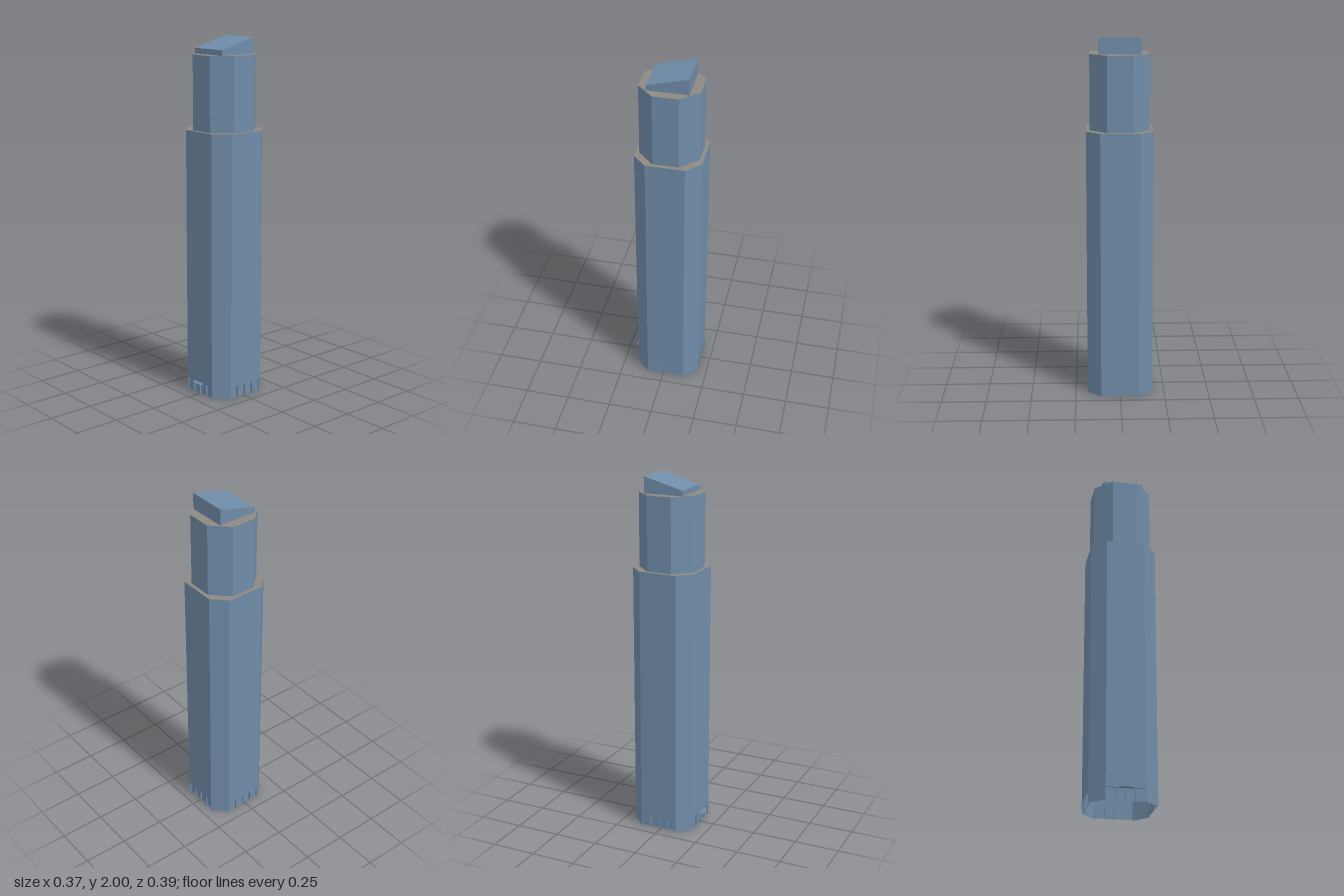
import * as THREE from 'three';

const HALF = 0.1835, FLAT = 0.107, HEIGHT = 1.5;   // lower shaft
const CENTER_Z = -0.0135;

// Square outline with cut corners
function octagon(half, flat) {
  const s = new THREE.Shape();
  s.moveTo(-flat, -half).lineTo(flat, -half).lineTo(half, -flat).lineTo(half, flat);
  s.lineTo(flat, half).lineTo(-flat, half).lineTo(-half, flat).lineTo(-half, -flat);
  s.closePath();
  return s;
}

export function createModel() {
  const blue = new THREE.MeshStandardMaterial({ color: 0x6f8ca8, side: THREE.DoubleSide });
  blue.name = 'blue cladding';
  const roofGrey = new THREE.MeshStandardMaterial({ color: 0x8e8a80, side: THREE.DoubleSide });
  roofGrey.name = 'warm grey roof';

  const model = new THREE.Group();
  model.name = 'tower';
  const add = (parent, name, geometry, material, x = 0, y = 0, z = 0) => {
    const mesh = new THREE.Mesh(geometry, material);
    mesh.name = name;
    mesh.position.set(x, y, z);
    parent.add(mesh);
    return mesh;
  };

  const shaft = new THREE.Group();
  shaft.name = 'shaft';
  shaft.position.z = CENTER_Z;
  model.add(shaft);

  // Broad wall outline, notched at the bottom for the ground floor bays
  const bayW = 0.047, bayH = 0.068, pitch = 0.053, recess = 0.01;
  const bays = [-1.5, -0.5, 0.5, 1.5].map(i => i * pitch);
  const wall = new THREE.Shape();
  wall.moveTo(-FLAT, 0);
  for (const x of bays) {
    wall.lineTo(x - bayW / 2, 0).lineTo(x - bayW / 2, bayH);
    wall.lineTo(x + bayW / 2, bayH).lineTo(x + bayW / 2, 0);
  }
  wall.lineTo(FLAT, 0).lineTo(FLAT, HEIGHT).lineTo(-FLAT, HEIGHT).closePath();
  const wallGeo = new THREE.ShapeGeometry(wall);
  const panelGeo = new THREE.PlaneGeometry(bayW, bayH);
  const jambGeo = new THREE.PlaneGeometry(recess, bayH).rotateY(Math.PI / 2);
  const lintelGeo = new THREE.PlaneGeometry(bayW, recess).rotateX(Math.PI / 2);

  // Narrow corner walls
  const cut = HALF - FLAT;
  const cornerGeo = new THREE.PlaneGeometry(cut * Math.SQRT2, HEIGHT);
  const cornerDist = (HALF + FLAT) / Math.SQRT2;

  for (let k = 0; k < 4; k++) {
    const side = new THREE.Group();
    side.name = 'broadSide';
    side.rotation.y = k * Math.PI / 2;
    shaft.add(side);
    add(side, 'wall', wallGeo, blue, 0, 0, HALF);
    for (const x of bays) {
      add(side, 'bayPanel', panelGeo, blue, x, bayH / 2, HALF - recess);
      add(side, 'bayLintel', lintelGeo, blue, x, bayH, HALF - recess / 2);
      for (const s of [-1, 1])
        add(side, 'bayJamb', jambGeo, blue, x + s * bayW / 2, bayH / 2, HALF - recess / 2);
    }
    const corner = new THREE.Group();
    corner.name = 'cornerSide';
    corner.rotation.y = (k + 0.5) * Math.PI / 2;
    shaft.add(corner);
    add(corner, 'cornerWall', cornerGeo, blue, 0, HEIGHT / 2, cornerDist);
  }

  // Setback ledge on top of the shaft
  const ledge = new THREE.ShapeGeometry(octagon(HALF, FLAT)).rotateX(-Math.PI / 2);
  add(shaft, 'setbackRoof', ledge, roofGrey, 0, HEIGHT, 0);

  // Narrower upper storeys with a flat roof
  const upper = new THREE.ExtrudeGeometry(octagon(0.163, 0.0705), { depth: 0.41, bevelEnabled: false });
  upper.rotateX(-Math.PI / 2);
  add(model, 'upperShaft', upper, [roofGrey, blue], 0, HEIGHT, CENTER_Z);

  // Sloped penthouse, low at the front
  const profile = new THREE.Shape();
  profile.moveTo(-0.125, 1.91).lineTo(0.099, 1.91).lineTo(0.099, 1.94).lineTo(-0.125, 2).closePath();
  const crown = new THREE.ExtrudeGeometry(profile, { depth: 0.224, bevelEnabled: false });
  crown.rotateY(-Math.PI / 2);
  add(model, 'slopedCrown', crown, blue, 0.112, 0, 0);

  // Thin canopy over the entrance
  const canopy = new THREE.BoxGeometry(0.076, 0.002, 0.026);
  add(model, 'entranceCanopy', canopy, blue, 0, 0.066, 0.183);

  return model;
}
